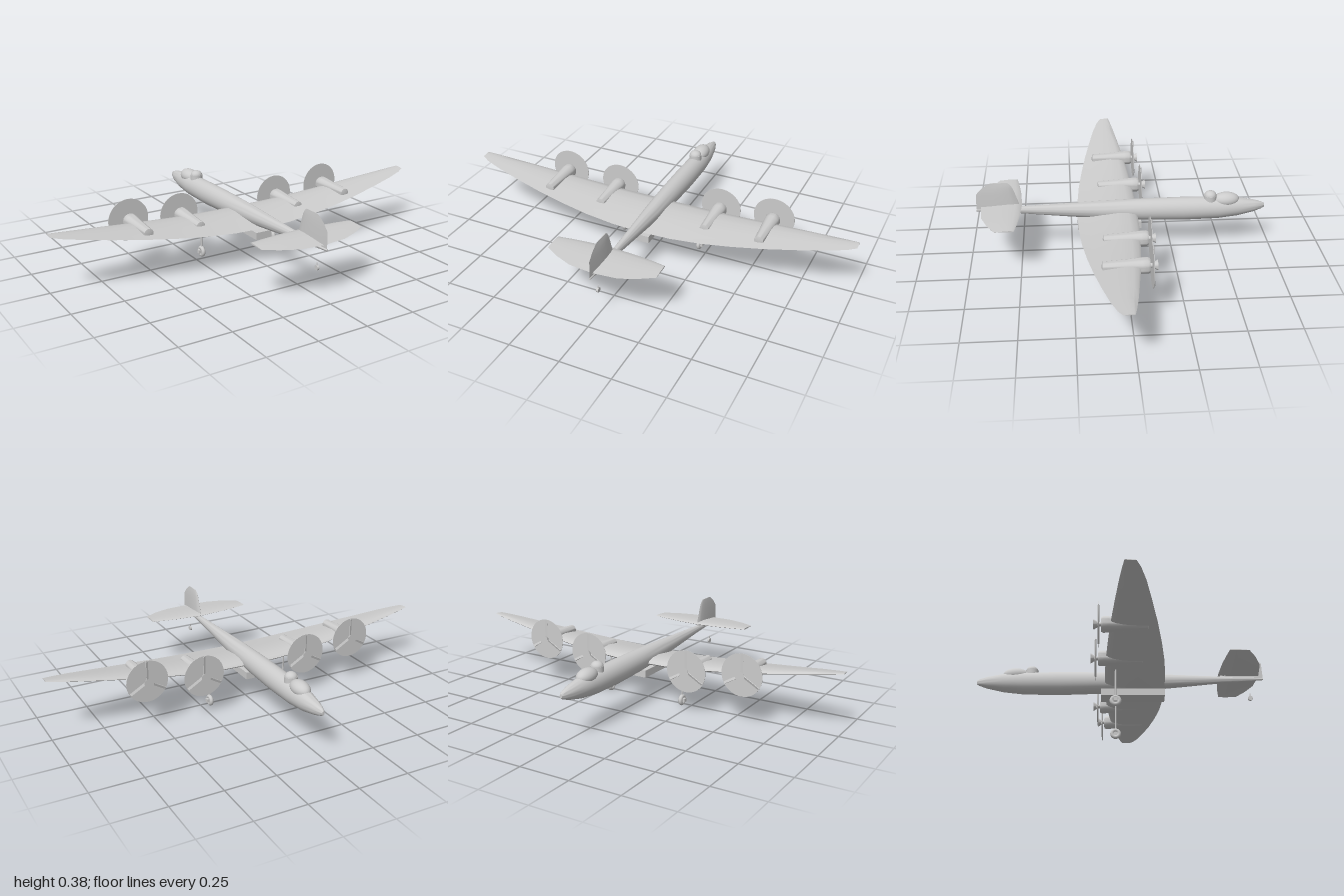
import * as THREE from 'three';
import { toCreasedNormals } from 'three/addons/utils/BufferGeometryUtils.js';

const grey = new THREE.MeshStandardMaterial({ color: 0xcccccc, side: THREE.DoubleSide });

function add(parent, name, geometry, x = 0, y = 0, z = 0) {
  const mesh = new THREE.Mesh(geometry, grey);
  mesh.name = name;
  mesh.position.set(x, y, z);
  parent.add(mesh);
  return mesh;
}

// Skin a list of equal-length rings of Vector3, closing both ends with fans
function loft(rings, crease = 0.7) {
  const n = rings[0].length, pos = [], idx = [];
  rings.forEach(r => r.forEach(p => pos.push(p.x, p.y, p.z)));
  for (let i = 0; i < rings.length - 1; i++) {
    for (let j = 0; j < n; j++) {
      const a = i * n + j, b = i * n + (j + 1) % n;
      idx.push(a, b, a + n, b, b + n, a + n);
    }
  }
  const last = (rings.length - 1) * n;
  for (let j = 1; j < n - 1; j++) {
    idx.push(0, j + 1, j);
    idx.push(last, last + j, last + j + 1);
  }
  // Turn the faces outward if the enclosed volume comes out negative
  const v = i => new THREE.Vector3().fromArray(pos, i * 3);
  let volume = 0;
  for (let i = 0; i < idx.length; i += 3) volume += v(idx[i]).dot(v(idx[i + 1]).cross(v(idx[i + 2])));
  if (volume < 0) idx.reverse();
  const g = new THREE.BufferGeometry();
  g.setAttribute('position', new THREE.Float32BufferAttribute(pos, 3));
  g.setIndex(idx);
  return toCreasedNormals(g, crease);
}

// Aerofoil as [chord fraction, height fraction]
const foil = [[0, 0], [0.04, 0.3], [0.15, 0.52], [0.35, 0.6], [0.6, 0.42], [0.82, 0.18], [1, 0],
  [0.8, -0.14], [0.55, -0.3], [0.3, -0.4], [0.12, -0.34], [0.03, -0.18]];

// Half-span stations [x, lead z, trail z, lead y, trail y, thickness], mirrored across x = 0
function wing(stations) {
  const left = stations.slice(1).reverse().map(([x, ...s]) => [-x, ...s]);
  return loft([...left, ...stations].map(([x, z0, z1, y0, y1, t]) => foil.map(([c, h]) =>
    new THREE.Vector3(x, y0 + (y1 - y0) * c + h * t, z0 + (z1 - z0) * c))));
}

// Lathe profile [radius, z] turned about the z axis
const turned = (profile, sides = 24) =>
  toCreasedNormals(new THREE.LatheGeometry(profile.map(([r, z]) => new THREE.Vector2(r, z)), sides).rotateX(Math.PI / 2), 0.7);

function engine(x, y, z) {
  const g = new THREE.Group();
  g.name = 'engine';
  g.position.set(x, y, z);
  // Cowling tapering into the wing
  add(g, 'nacelle', turned([[0, 0.01], [0.032, 0.01], [0.037, 0.02], [0.036, 0.045], [0.03, 0.11], [0.023, 0.22], [0, 0.225]]));
  // Thin propeller sweep disc, blades and flared hub
  add(g, 'propellerDisc', new THREE.CylinderGeometry(0.103, 0.103, 0.002, 48).rotateX(Math.PI / 2));
  for (let i = 0; i < 3; i++) {
    const blade = new THREE.BoxGeometry(0.012, 0.095, 0.003);
    blade.rotateY(0.4).translate(0, 0.052, -0.003).rotateZ(i * Math.PI * 2 / 3);
    add(g, 'propellerBlade', blade);
  }
  add(g, 'hub', turned([[0, -0.024], [0.024, -0.024], [0.01, 0], [0.01, 0.012]]));
  return g;
}

export function createModel() {
  const model = new THREE.Group();
  model.name = 'aeroplane';

  // Fuselage sections: z, top, bottom, half width
  const body = [[-0.713, 0.228, 0.208, 0.006], [-0.7, 0.236, 0.2, 0.013], [-0.66, 0.248, 0.186, 0.026],
    [-0.58, 0.262, 0.168, 0.041], [-0.48, 0.268, 0.157, 0.049], [-0.3, 0.272, 0.154, 0.051],
    [-0.1, 0.271, 0.161, 0.048], [0.1, 0.266, 0.176, 0.04], [0.3, 0.259, 0.195, 0.026],
    [0.5, 0.252, 0.216, 0.014], [0.66, 0.247, 0.229, 0.007], [0.715, 0.244, 0.234, 0.004]];
  add(model, 'fuselage', loft(body.map(([z, top, bottom, w]) => Array.from({ length: 28 }, (_, i) => {
    const a = i / 28 * Math.PI * 2;
    return new THREE.Vector3(w * Math.cos(a), (top + bottom) / 2 + (top - bottom) / 2 * Math.sin(a), z);
  }))));

  // Main wing with curved dihedral
  add(model, 'wing', wing([
    [0, -0.075, 0.22, 0.2, 0.185, 0.042], [0.15, -0.074, 0.217, 0.202, 0.188, 0.04],
    [0.3, -0.067, 0.206, 0.209, 0.197, 0.036], [0.45, -0.056, 0.187, 0.222, 0.211, 0.031],
    [0.6, -0.042, 0.163, 0.238, 0.228, 0.026], [0.75, -0.024, 0.134, 0.256, 0.248, 0.02],
    [0.88, -0.007, 0.106, 0.272, 0.267, 0.014], [0.96, 0.006, 0.082, 0.283, 0.279, 0.009],
    [1, 0.014, 0.062, 0.289, 0.287, 0.004]]));

  // Tailplane
  add(model, 'tailplane', wing([
    [0, 0.49, 0.692, 0.262, 0.256, 0.018], [0.12, 0.498, 0.682, 0.263, 0.258, 0.015],
    [0.2, 0.508, 0.652, 0.264, 0.261, 0.012], [0.27, 0.52, 0.612, 0.265, 0.263, 0.007]]));

  // Fin: stacked sections [y, lead z, trail z, thickness]
  const fin = [[0.235, 0.495, 0.712, 0.02], [0.265, 0.503, 0.713, 0.02], [0.325, 0.522, 0.71, 0.015],
    [0.355, 0.533, 0.683, 0.012], [0.372, 0.543, 0.66, 0.008], [0.384, 0.557, 0.638, 0.004]];
  add(model, 'fin', loft(fin.map(([y, z0, z1, t]) => foil.map(([c, h]) =>
    new THREE.Vector3(h * t, y, z0 + (z1 - z0) * c)))));

  // Cockpit canopy and dorsal turret
  add(model, 'canopy', new THREE.SphereGeometry(1, 28, 16).scale(0.04, 0.036, 0.065), 0, 0.257, -0.52);
  add(model, 'turretRing', new THREE.CylinderGeometry(0.032, 0.032, 0.03, 28), 0, 0.268, -0.44);
  add(model, 'turretDome', new THREE.SphereGeometry(0.03, 28, 10, 0, Math.PI * 2, 0, Math.PI / 2).scale(1, 0.8, 1), 0, 0.281, -0.44);

  // Belly bay
  add(model, 'bellyBay', new THREE.BoxGeometry(0.084, 0.036, 0.314), 0, 0.15, 0.063);

  for (const s of [-1, 1]) {
    model.add(engine(s * 0.28, 0.212, -0.115), engine(s * 0.56, 0.238, -0.096));

    // Main landing gear
    const gear = new THREE.Group();
    gear.name = 'mainGear';
    gear.position.set(s * 0.208, 0, -0.022);
    model.add(gear);
    add(gear, 'strut', new THREE.CylinderGeometry(0.004, 0.004, 0.17, 10), 0, 0.115, 0);
    const wheel = new THREE.TorusGeometry(0.018, 0.01, 12, 28).rotateY(Math.PI / 2);
    add(gear, 'tyre', wheel, 0, 0.028, 0);
    add(gear, 'wheelDisc', new THREE.CylinderGeometry(0.02, 0.02, 0.012, 24).rotateZ(Math.PI / 2), 0, 0.028, 0);
    add(gear, 'axle', new THREE.BoxGeometry(0.02, 0.018, 0.018), s * 0.009, 0.029, 0);
  }

  // Tail wheel
  add(model, 'tailWheel', new THREE.CylinderGeometry(0.012, 0.012, 0.01, 20).rotateZ(Math.PI / 2), 0, 0.134, 0.645);
  add(model, 'tailStrut', new THREE.CylinderGeometry(0.003, 0.003, 0.022, 8), 0, 0.148, 0.645);

  return model;
}
